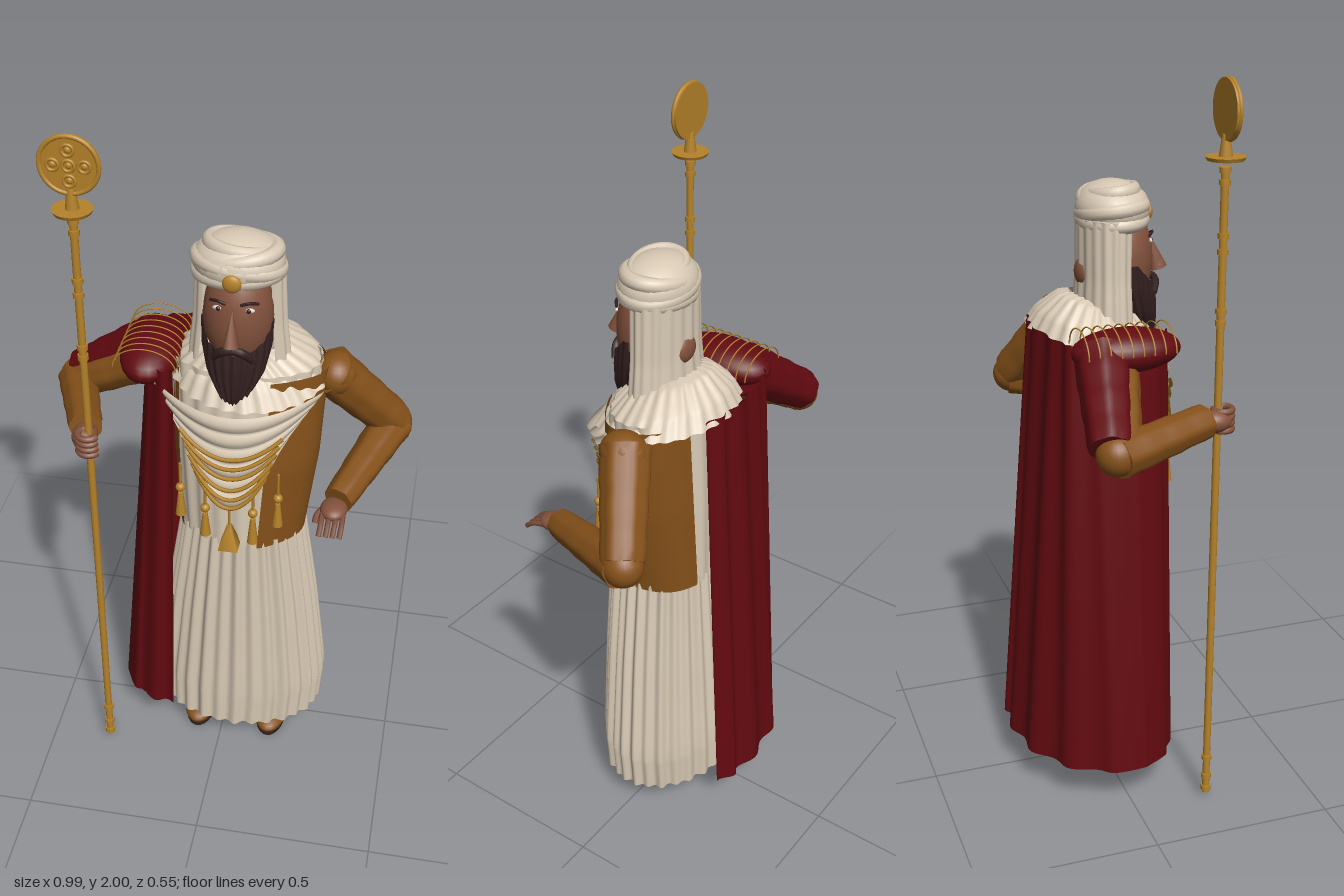
import * as THREE from 'three';

const mat = (name, color) => new THREE.MeshStandardMaterial({ name, color, side: THREE.DoubleSide });
const V = (x, y, z) => new THREE.Vector3(x, y, z);

export function createModel() {
  const model = new THREE.Group();
  const cream = mat('cream cloth', 0xd8c9b4), brown = mat('brown cloth', 0x85511a), red = mat('red cloth', 0x620a10);
  const gold = mat('gold', 0xb5822a), skin = mat('skin', 0x83523d), dark = mat('dark beard', 0x33201f), white = mat('eye white', 0xd8d0c8);

  function add(name, geo, material, p = [0, 0, 0], s = [1, 1, 1], r = [0, 0, 0]) {
    const m = new THREE.Mesh(geo, material);
    m.name = name;
    m.position.set(...p); m.scale.set(...s); m.rotation.set(...r);
    model.add(m);
    return m;
  }
  const ball = (name, material, p, s) => add(name, new THREE.SphereGeometry(1, 24, 16), material, p, s);

  // surface from a rule f(u, v) -> Vector3, u and v from 0 to 1
  function sheet(name, material, nu, nv, f) {
    const g = new THREE.PlaneGeometry(1, 1, nu, nv), p = g.attributes.position;
    for (let i = 0; i < p.count; i++) {
      const q = f(p.getX(i) + 0.5, p.getY(i) + 0.5);
      p.setXYZ(i, q.x, q.y, q.z);
    }
    g.computeVertexNormals();
    return add(name, g, material);
  }
  // elliptical wrap through rows [y, cx, cz, rx, rz] from angle a0 to a1 (0 = front, + = left), with pleats
  function wrap(name, material, rows, a0, a1, folds = 0, amp = 0, tilt = () => 0, nu = 160) {
    return sheet(name, material, nu, 16, (u, v) => {
      const t = v * (rows.length - 1), i = Math.min(Math.floor(t), rows.length - 2);
      const [y, cx, cz, rx, rz] = rows[i].map((c, k) => THREE.MathUtils.lerp(c, rows[i + 1][k], t - i));
      const a = a0 + (a1 - a0) * u;
      const w = amp * (Math.sin(a * folds) + 0.4 * Math.sin(a * (folds / 2 + 3) + 1));
      return V(cx + (rx + w) * Math.sin(a), y + tilt(a, v), cz + (rz + w) * Math.cos(a));
    });
  }
  // wrinkled tapered sleeve from a to b
  function sleeve(name, material, a, b, ra, rb) {
    const d = b.clone().sub(a), len = d.length();
    const g = new THREE.CylinderGeometry(rb, ra, len, 28, 10), p = g.attributes.position;
    for (let i = 0; i < p.count; i++) {
      const x = p.getX(i), y = p.getY(i), z = p.getZ(i);
      const k = 1 + 0.04 * Math.sin(Math.atan2(z, x) * 7) + 0.025 * Math.sin(y * 70);
      p.setXYZ(i, x * k, y, z * k);
    }
    g.computeVertexNormals();
    const m = add(name, g, material, a.clone().add(b).multiplyScalar(0.5).toArray());
    m.quaternion.setFromUnitVectors(V(0, 1, 0), d.normalize());
  }
  const tube = (name, material, pts, r) =>
    add(name, new THREE.TubeGeometry(new THREE.CatmullRomCurve3(pts), 24, r, 6), material);
  const rod = (name, material, x, y, z, rt, rb, h, n = 16) =>
    add(name, new THREE.CylinderGeometry(rt, rb, h, n), material, [x, y, z]);
  const PI = Math.PI;

  // shoes and leggings
  for (const x of [-0.075, 0.145]) {
    ball('shoe', brown, [x, 0.03, 0.04], [0.049, 0.028, 0.092]);
    rod('sole', dark, x, 0.008, 0.04, 1, 1, 0.01, 24).scale.set(0.044, 1, 0.085);
    rod('legging', cream, x, 0.1, -0.01, 0.045, 0.038, 0.14);
  }

  // pleated skirt and undertunic
  wrap('skirt', cream, [[0.095, 0.04, -0.004, 0.243, 0.176], [0.22, 0.044, -0.004, 0.248, 0.178],
    [0.52, 0.046, 0.004, 0.212, 0.164], [0.81, 0.048, 0.012, 0.168, 0.148]], -PI, PI, 30, 0.006, undefined, 240);
  wrap('undertunic', cream, [[0.79, 0.048, 0.012, 0.172, 0.146], [1.05, 0.05, 0.01, 0.188, 0.145],
    [1.33, 0.05, 0, 0.2, 0.125]], -PI, PI, 20, 0.003);

  // brown side panels of the vest
  const vest = [[0.79, 0.045, 0.01, 0.178, 0.156], [1.05, 0.055, 0.01, 0.2, 0.155], [1.32, 0.06, 0, 0.208, 0.135]];
  wrap('leftVestPanel', brown, vest, 0.36, 2.75, 6, 0.002);
  wrap('rightVestPanel', brown, vest, -2.6, -1.0, 6, 0.002);

  // cape hanging from the right shoulder and round the back
  const path = pts => new THREE.CatmullRomCurve3(pts.map(([x, z]) => V(x, 0, z)));
  const hem = path([[-0.14, 0.155], [-0.25, 0.12], [-0.315, 0.02], [-0.265, -0.14], [-0.12, -0.245], [0.06, -0.262], [0.16, -0.24]]);
  const yoke = path([[-0.115, 0.15], [-0.18, 0.11], [-0.215, 0], [-0.19, -0.13], [-0.1, -0.165], [0.04, -0.18], [0.13, -0.165]]);
  sheet('cape', red, 120, 12, (u, v) => {
    const q = hem.getPoint(1 - u).lerp(yoke.getPoint(1 - u), v);
    const w = Math.sin(u * 50) * 0.009 * (1.1 - 0.5 * v);
    return V(q.x + w * 0.3, 0.12 + 1.21 * v, q.z + w);
  });

  // red shoulder piece with gold cords
  ball('shoulderPad', red, [-0.2, 1.31, 0.005], [0.083, 0.057, 0.147]);
  for (let i = 0; i < 9; i++)
    add('shoulderCord', new THREE.TorusGeometry(0.083, 0.0022, 5, 20, PI), gold, [-0.2, 1.315, -0.12 + i * 0.029], [1, 0.72, 1]);

  // right arm
  sleeve('rightUpperSleeve', red, V(-0.2, 1.3, -0.06), V(-0.435, 1.14, -0.115), 0.072, 0.054);
  sleeve('rightInnerSleeve', brown, V(-0.2, 1.27, -0.02), V(-0.435, 1.125, -0.085), 0.058, 0.05);
  ball('rightElbow', brown, [-0.44, 1.125, -0.1], [0.053, 0.054, 0.054]);
  sleeve('rightForearm', brown, V(-0.445, 1.12, -0.1), V(-0.35, 1.15, 0.165), 0.054, 0.044);
  ball('rightPalm', skin, [-0.345, 1.145, 0.195], [0.034, 0.03, 0.045]);
  for (let i = 0; i < 4; i++)
    add('rightFinger', new THREE.TorusGeometry(0.024, 0.009, 8, 16, PI * 1.5), skin,
      [-0.33, 1.118 + i * 0.017, 0.222], [1.1, 1, 1], [PI / 2, 0, 0.4]);

  // left arm, hand near the hip
  ball('leftShoulder', brown, [0.285, 1.275, -0.025], [0.058, 0.058, 0.066]);
  sleeve('leftUpperSleeve', brown, V(0.27, 1.285, -0.02), V(0.435, 1.07, -0.13), 0.066, 0.056);
  ball('leftElbow', brown, [0.438, 1.06, -0.13], [0.053, 0.056, 0.056]);
  sleeve('leftForearm', brown, V(0.437, 1.055, -0.13), V(0.325, 1.0, 0.165), 0.056, 0.04);
  ball('leftPalm', skin, [0.317, 0.99, 0.19], [0.036, 0.021, 0.045]);
  for (let i = 0; i < 4; i++) {
    const x = 0.29 + i * 0.018;
    tube('leftFinger', skin, [V(x, 0.988, 0.21), V(x, 0.977, 0.245), V(x - 0.002, 0.958, 0.27)], 0.007);
  }
  tube('leftThumb', skin, [V(0.295, 0.99, 0.18), V(0.275, 0.975, 0.205), V(0.272, 0.96, 0.22)], 0.008);

  // ruffled collar
  wrap('collar', cream, [[1.3, 0.06, -0.002, 0.208, 0.178], [1.345, 0.052, -0.002, 0.175, 0.15],
    [1.39, 0.042, 0.005, 0.115, 0.105], [1.395, 0.04, 0.012, 0.09, 0.08]], -PI, PI, 26, 0.004,
    a => -0.03 * Math.cos(a) - 0.015);

  // draped swag on the chest, and the cords that follow it
  const swag = (u, v, lift = 0) => {
    const s = u * 2 - 1;
    return V(0.038 + s * (0.23 - 0.1 * v), 1.3 - 0.16 * v - (0.05 + 0.12 * v) * (1 - s * s) * 1.1,
      0.19 - (0.085 - 0.035 * v) * s * s + 0.009 * Math.abs(Math.sin(v * PI * 6)) * (1 - s * s * 0.6) + lift);
  };
  sheet('chestDrape', cream, 40, 60, (u, v) => swag(u, 1 - v).setY(swag(u, 1 - v).y)).scale.set(1, 1, 1);
  for (let k = 0; k < 6; k++) {
    const v = 0.42 + k * 0.115;
    tube('goldNecklace', gold, Array.from({ length: 11 }, (_, i) => swag(0.14 + i * 0.072, v, 0.007)), 0.0055);
  }

  // hanging tassels and the central pendant
  for (const [x, y, l] of [[-0.1, 1.0, 0.09], [-0.03, 0.95, 0.09], [0.1, 0.95, 0.1], [0.165, 1.0, 0.09]]) {
    const z = 0.188 - Math.abs(x - 0.035) * 0.2;
    rod('tasselCord', gold, x, y + 0.02, z, 0.004, 0.004, 0.08, 6);
    ball('tasselBead', gold, [x, y - 0.02, z], [0.013, 0.013, 0.013]);
    rod('tassel', gold, x, y - 0.03 - l / 2, z, 0.007, 0.015, l * 0.8, 10);
  }
  rod('pendantCord', gold, 0.037, 0.93, 0.18, 0.004, 0.004, 0.12, 6);
  rod('pendant', gold, 0.037, 0.847, 0.18, 0.008, 0.038, 0.075, 4).rotation.y = PI / 4;

  // head, nose, eyes
  rod('neck', skin, 0.038, 1.38, 0.04, 0.055, 0.06, 0.16);
  ball('head', skin, [0.04, 1.49, 0.07], [0.09, 0.15, 0.088]);
  ball('nape', skin, [0.037, 1.46, -0.034], [0.04, 0.038, 0.022]);
  add('nose', new THREE.ConeGeometry(0.024, 0.095, 10), skin, [0.04, 1.5, 0.168], [0.85, 1, 1], [-0.28, 0, 0]);
  ball('noseTip', skin, [0.04, 1.463, 0.18], [0.018, 0.013, 0.018]);
  for (const s of [-1, 1]) {
    const x = 0.04 + s * 0.038;
    ball('eye', white, [x, 1.54, 0.141], [0.015, 0.007, 0.006]);
    ball('pupil', dark, [x, 1.54, 0.145], [0.006, 0.006, 0.005]);
    tube('eyebrow', dark, [V(x - s * 0.02, 1.557, 0.15), V(x, 1.563, 0.148), V(x + s * 0.022, 1.556, 0.132)], 0.004);
    tube('moustache', dark, [V(0.04, 1.433, 0.163), V(0.04 + s * 0.025, 1.427, 0.163), V(0.04 + s * 0.052, 1.4, 0.147)], 0.011);
  }

  // beard
  wrap('beard', dark, [[1.25, 0.04, 0.145, 0.004, 0.01], [1.28, 0.04, 0.128, 0.04, 0.04], [1.33, 0.04, 0.105, 0.073, 0.064],
    [1.375, 0.04, 0.085, 0.088, 0.082], [1.415, 0.04, 0.075, 0.091, 0.086]], -1.9, 1.9, 22, 0.002,
    (a, v) => 0.07 * v * v * Math.min(1, (a / 1.4) ** 2));

  // veil and turban
  wrap('headVeil', cream, [[1.31, 0.036, 0.022, 0.138, 0.078], [1.45, 0.036, 0.024, 0.122, 0.07], [1.61, 0.036, 0.026, 0.114, 0.072]],
    0.85, 2 * PI - 0.85, 18, 0.002);
  ball('turbanDome', cream, [0.036, 1.628, 0.047], [0.117, 0.074, 0.098]);
  for (const [y, s, tilt, roll] of [[1.602, 1, 0.04, 0.05], [1.625, 1.02, 0.1, -0.12], [1.648, 0.95, 0.05, 0.14], [1.668, 0.76, 0.1, -0.12]])
    add('turbanWrap', new THREE.TorusGeometry(0.1, 0.022, 10, 40), cream, [0.036, y, 0.046], [s, s * 0.8, 0.95], [PI / 2 - tilt, roll, 0]);
  add('turbanBrooch', new THREE.SphereGeometry(0.024, 16, 12), gold, [0.036, 1.612, 0.146], [1, 1, 0.5]);

  // staff with rings, dish and round head
  const sx = -0.33, sz = 0.208;
  rod('staff', gold, sx, 0.9, sz, 0.01, 0.01, 1.77);
  for (const y of [0.03, 0.07, 0.13, 1.4, 1.43, 1.58, 1.62, 1.75, 1.78])
    rod('staffRing', gold, sx, y, sz, 0.014, 0.014, 0.014);
  rod('staffDish', gold, sx, 1.808, sz, 0.05, 0.046, 0.009, 28);
  rod('staffNeck', gold, sx, 1.835, sz, 0.01, 0.018, 0.06);
  add('staffDisc', new THREE.CylinderGeometry(0.074, 0.074, 0.012, 36), gold, [sx, 1.923, sz], [1, 1, 1], [PI / 2, 0, 0]);
  add('staffDiscRim', new THREE.TorusGeometry(0.071, 0.006, 8, 36), gold, [sx, 1.923, sz + 0.004]);
  for (const [x, y] of [[0, 0], [0.038, 0], [-0.038, 0], [0, 0.038], [0, -0.038]]) {
    add('discRing', new THREE.TorusGeometry(0.014, 0.004, 8, 20), gold, [sx + x, 1.923 + y, sz + 0.008]);
    ball('discStud', gold, [sx + x, 1.923 + y, sz + 0.006], [0.008, 0.008, 0.005]);
  }
  return model;
}
